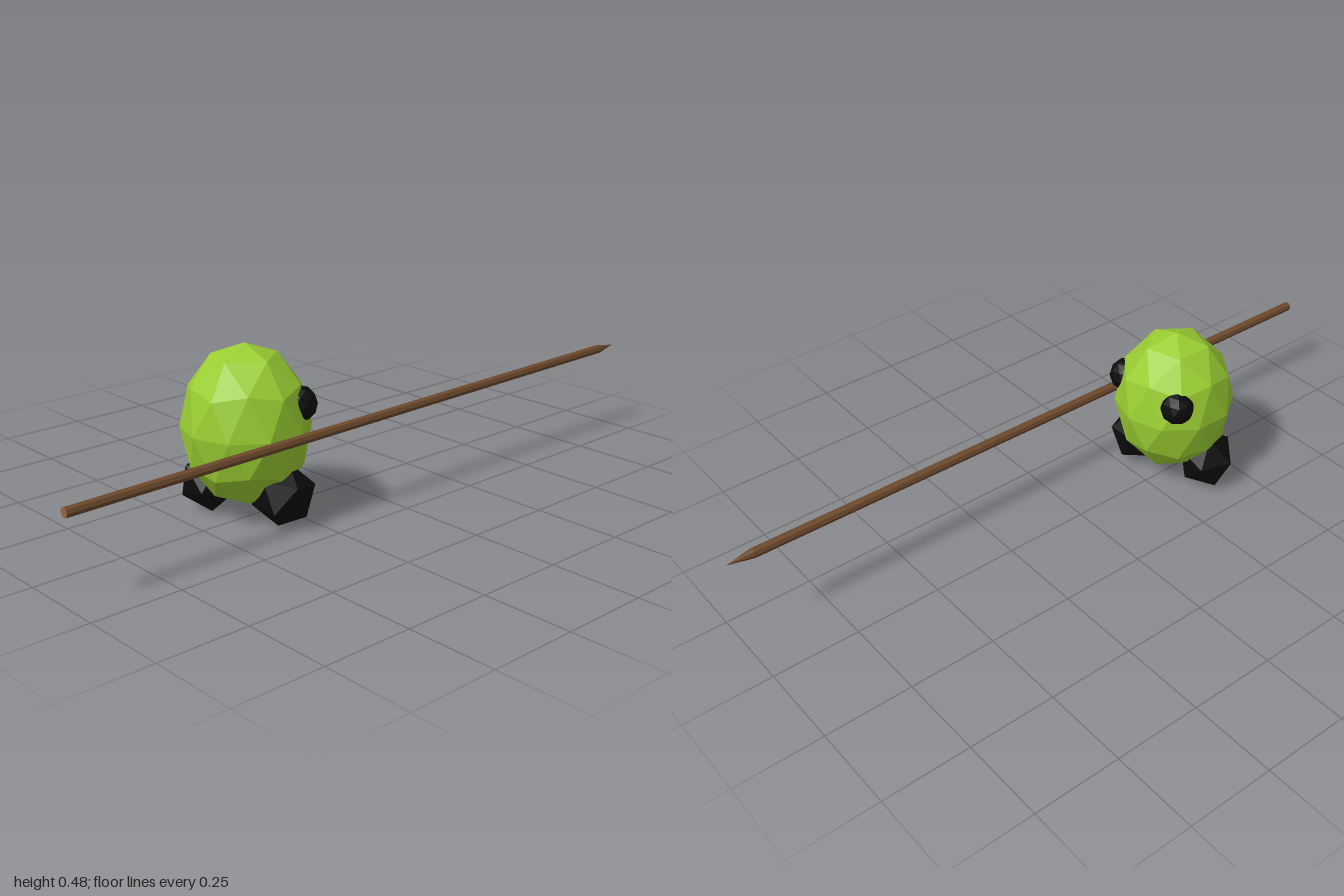
import * as THREE from 'three';

const mat = (name, color) => {
  const m = new THREE.MeshStandardMaterial({ color, flatShading: true });
  m.name = name;
  return m;
};

export function createModel() {
  const green = mat('skin green', 0x9acd32);
  const black = mat('black', 0x0b0b0b);
  const bark = mat('wood brown', 0x6e4a2c);
  const cutWood = mat('cut wood', 0x8f6742);

  const model = new THREE.Group();
  const add = (name, geo, material, x = 0, y = 0, z = 0, parent = model) => {
    const mesh = new THREE.Mesh(geo, material);
    mesh.name = name;
    mesh.position.set(x, y, z);
    parent.add(mesh);
    return mesh;
  };

  // Faceted ball standing on one of its vertices
  const ball = (r) => new THREE.IcosahedronGeometry(r, 1)
    .rotateZ(-Math.atan(2 / (1 + Math.sqrt(5))));

  // Egg-shaped body
  add('body', ball(1).scale(0.173, 0.22, 0.173), green, 0, 0.256, 0.35);

  // Eyes, on the -z side
  for (const s of [-1, 1]) {
    add(s > 0 ? 'leftEye' : 'rightEye', ball(0.049), black, s * 0.108, 0.318, 0.26);
  }

  // Feet: plain icosahedra with a face turned to the front, each twisted differently
  const faceToFront = new THREE.Quaternion().setFromUnitVectors(
    new THREE.Vector3(1, 1, 1).normalize(), new THREE.Vector3(0, 0, 1));
  const foot = (name, x, z, twist) => add(name,
    new THREE.IcosahedronGeometry(0.087, 0)
      .applyQuaternion(faceToFront)
      .rotateZ(THREE.MathUtils.degToRad(twist)),
    black, x, 0.083, z);
  foot('leftFoot', 0.11, 0.318, 20);
  foot('rightFoot', -0.11, 0.388, 40);

  // Spear, nearly level, sharpened towards -z
  const spear = new THREE.Group();
  spear.name = 'spear';
  const butt = new THREE.Vector3(0.166, 0.236, 1);
  const tip = new THREE.Vector3(0.166, 0.256, -1);
  const r = 0.0138, point = 0.075, shaft = butt.distanceTo(tip) - point;
  spear.position.copy(butt);
  spear.quaternion.setFromUnitVectors(
    new THREE.Vector3(0, 1, 0), tip.clone().sub(butt).normalize());
  add('spearShaft', new THREE.CylinderGeometry(r, r, shaft, 8), [bark, bark, cutWood],
    0, shaft / 2, 0, spear);
  add('spearPoint', new THREE.ConeGeometry(r, point, 8, 1, true), bark,
    0, shaft + point / 2, 0, spear);
  model.add(spear);

  return model;
}
